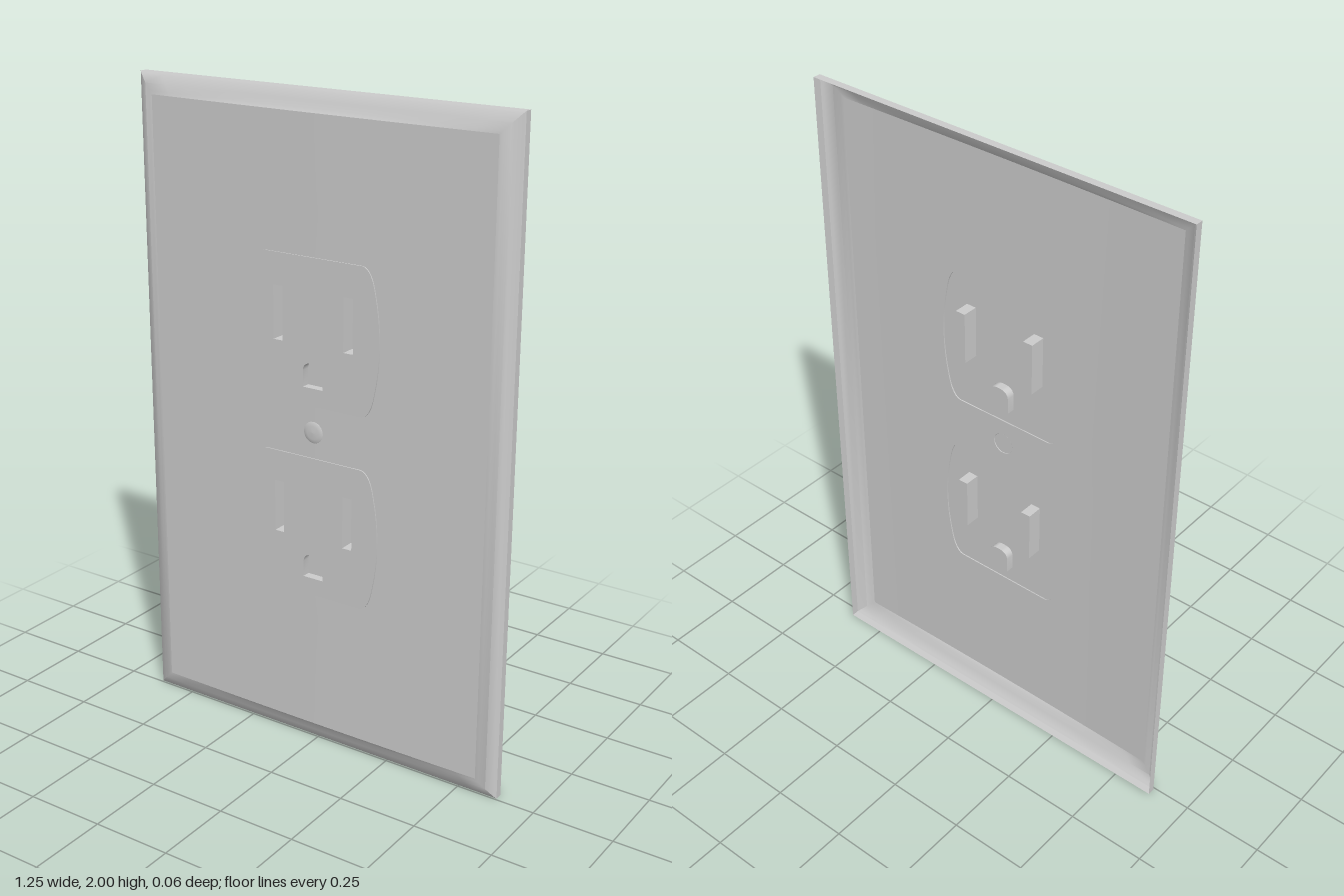
import * as THREE from 'three';
import { toCreasedNormals } from 'three/addons/utils/BufferGeometryUtils.js';

const HALF_W = 0.627, HALF_H = 1, MID_Y = 1, INSET = 0.06;
const BACK_Z = -0.03, FACE_Z = 0.028;
const OUTLET_Y = [1.32, 0.72];

const material = new THREE.MeshStandardMaterial({ color: 0xcccccc, side: THREE.DoubleSide });

// The plate front bows out very slightly towards its middle.
const crown = (x) => 0.02 + 0.005 * (1 - (x / (HALF_W - INSET)) ** 2);

function addMesh(parent, name, geometry) {
  const mesh = new THREE.Mesh(geometry, material);
  mesh.name = name;
  parent.add(mesh);
  return mesh;
}

// Skin between closed rings of equal length, given as arrays of Vector3.
function loft(rings, crease = 0.6) {
  const n = rings[0].length, index = [];
  for (let r = 0; r + 1 < rings.length; r++) {
    for (let i = 0; i < n; i++) {
      const a = r * n + i, b = r * n + (i + 1) % n;
      index.push(a, b, b + n, a, b + n, a + n);
    }
  }
  const geometry = new THREE.BufferGeometry().setFromPoints(rings.flat());
  geometry.setIndex(index);
  return toCreasedNormals(geometry, crease);
}

const ringAt = (points, z) =>
  points.map((p) => new THREE.Vector3(p.x, p.y, typeof z === 'function' ? z(p.x) : z));

// Counter-clockwise rectangle, with its top and bottom edges subdivided.
function rectangle(halfW, halfH, cy, steps = 1) {
  const points = [];
  for (const side of [-1, 1]) {
    for (let i = 0; i <= steps; i++) {
      points.push(new THREE.Vector2(-side * halfW * (2 * i / steps - 1) * -1, cy + side * halfH));
    }
  }
  // Bottom runs left to right, top runs right to left.
  const bottom = points.slice(0, steps + 1).sort((a, b) => a.x - b.x);
  const top = points.slice(steps + 1).sort((a, b) => b.x - a.x);
  return [...bottom, ...top];
}

// Receptacle outline: flat top and bottom, bowed sides.
function outletOutline(cy) {
  const s = new THREE.Shape();
  s.moveTo(-0.165, cy - 0.22);
  s.lineTo(0.165, cy - 0.22);
  s.quadraticCurveTo(0.195, cy - 0.215, 0.207, cy - 0.15);
  s.quadraticCurveTo(0.24, cy, 0.207, cy + 0.15);
  s.quadraticCurveTo(0.195, cy + 0.215, 0.165, cy + 0.22);
  s.lineTo(-0.165, cy + 0.22);
  s.quadraticCurveTo(-0.195, cy + 0.215, -0.207, cy + 0.15);
  s.quadraticCurveTo(-0.24, cy, -0.207, cy - 0.15);
  s.quadraticCurveTo(-0.195, cy - 0.215, -0.165, cy - 0.22);
  return s.getPoints(8).slice(0, -1);
}

// Ground opening: flat bottom, rounded top.
function groundOutline(cy) {
  const s = new THREE.Shape();
  s.moveTo(-0.034, cy - 0.165);
  s.lineTo(0.034, cy - 0.165);
  s.lineTo(0.034, cy - 0.115);
  s.quadraticCurveTo(0.032, cy - 0.09, 0, cy - 0.09);
  s.quadraticCurveTo(-0.032, cy - 0.09, -0.034, cy - 0.115);
  return s.getPoints(6);
}

function faceWithHoles(outline, holes) {
  const shape = new THREE.Shape(outline);
  shape.holes = holes.map((h) => new THREE.Path(h));
  return new THREE.ShapeGeometry(shape);
}

// Pocket sunk behind the receptacle face.
function addPocket(parent, name, outline, floorZ) {
  const pocket = new THREE.Group();
  pocket.name = name;
  addMesh(pocket, name + 'Walls', loft([ringAt(outline, floorZ), ringAt(outline, FACE_Z)]));
  addMesh(pocket, name + 'Floor', new THREE.ShapeGeometry(new THREE.Shape(outline))).position.z = floorZ;
  parent.add(pocket);
}

export function createModel() {
  const model = new THREE.Group();
  model.name = 'wallOutletPlate';

  // Rim: straight edge, then a softly rounded bevel up to the front.
  const steps = 16;
  const profile = [[0, BACK_Z], [0, -0.006], [0.006, -0.001], [0.03, 0.011], [0.05, 0.018], [INSET, crown]];
  addMesh(model, 'plateRim', loft(profile.map(([inset, z]) =>
    ringAt(rectangle(HALF_W - inset, HALF_H - inset, MID_Y, steps), z))));

  // Front sheet, crowned, with openings for the two receptacles.
  const outlines = OUTLET_Y.map(outletOutline);
  const front = faceWithHoles(rectangle(HALF_W - INSET, HALF_H - INSET, MID_Y, steps), outlines);
  const pos = front.attributes.position, normal = front.attributes.normal;
  for (let i = 0; i < pos.count; i++) {
    const x = pos.getX(i);
    pos.setZ(i, crown(x));
    const n = new THREE.Vector3(0.031 * x, 0, 1).normalize();
    normal.setXYZ(i, n.x, n.y, n.z);
  }
  addMesh(model, 'plateFront', front);

  // Receptacles: raised face, step around it, two blade slots and a ground.
  OUTLET_Y.forEach((cy, i) => {
    const outlet = new THREE.Group();
    outlet.name = i === 0 ? 'upperReceptacle' : 'lowerReceptacle';
    const slots = [-0.12, 0.12].map((x) =>
      rectangle(0.016, 0.081, cy + 0.042).map((p) => new THREE.Vector2(p.x + x, p.y)));
    const ground = groundOutline(cy);
    addMesh(outlet, 'receptacleFace', faceWithHoles(outlines[i], [...slots, ground])).position.z = FACE_Z;
    addMesh(outlet, 'receptacleEdge', loft([ringAt(outlines[i], crown), ringAt(outlines[i], FACE_Z)]));
    slots.forEach((slot, k) => addPocket(outlet, k ? 'leftBladeSlot' : 'rightBladeSlot', slot, -0.02));
    addPocket(outlet, 'groundSlot', ground, 0.002);
    model.add(outlet);
  });

  // Low domed screw head between the receptacles.
  const dome = [[0.034, 0.023], [0.032, 0.026], [0.02, 0.0285], [0, 0.0295]]
    .map(([r, z]) => new THREE.Vector2(r, z));
  const screw = addMesh(model, 'screwHead', new THREE.LatheGeometry(dome, 24));
  screw.rotation.x = Math.PI / 2;
  screw.position.y = 1.02;

  return model;
}
